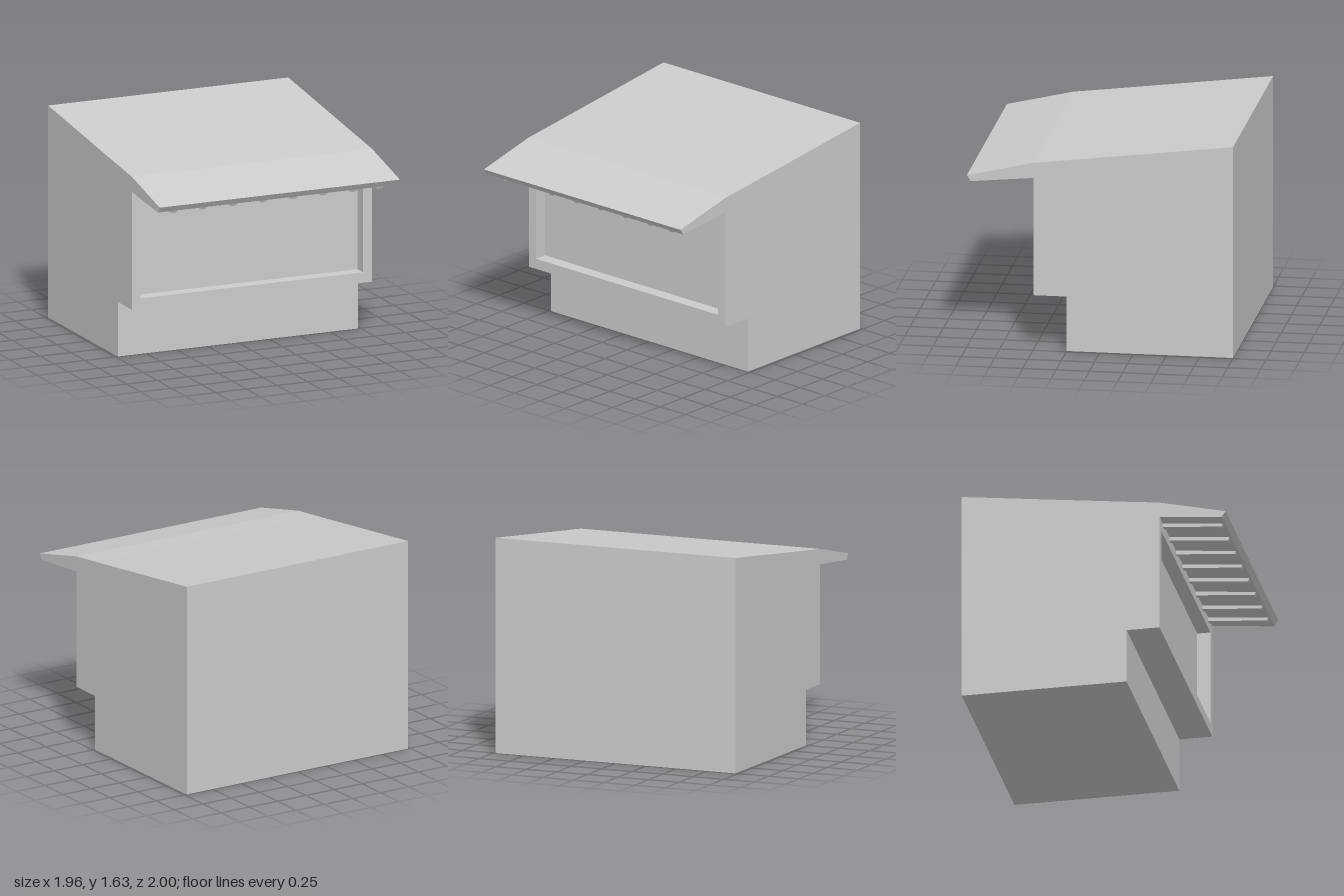
import * as THREE from 'three';

const material = new THREE.MeshStandardMaterial({ color: 0xcccccc, flatShading: true });

// Extrude a side profile of [z, y] points along x, centred on the given x
function sideProfile(name, points, width, x = 0) {
  const shape = new THREE.Shape(points.map(([z, y]) => new THREE.Vector2(z, y)));
  const geo = new THREE.ExtrudeGeometry(shape, { depth: width, bevelEnabled: false });
  geo.translate(0, 0, -width / 2).rotateY(-Math.PI / 2);
  const mesh = new THREE.Mesh(geo, material);
  mesh.name = name;
  mesh.position.x = x;
  return mesh;
}

// Rectangle outline, counter-clockwise
function rect(Type, x, y0, y1) {
  return new Type([[-x, y0], [x, y0], [x, y1], [-x, y1]].map(([a, b]) => new THREE.Vector2(a, b)));
}

export function createModel() {
  const group = new THREE.Group();
  group.name = 'kiosk';
  const halfWidth = 0.98, wallZ = 0.4, frameDepth = 0.1;

  // Main body: stepped base, back wall of the opening, overhanging sloped roof
  group.add(sideProfile('body', [
    [-1, 0], [0.25, 0], [0.25, 0.42], [wallZ, 0.42], [wallZ, 1.325], [0.5, 1.325],
    [0.97, 1.28], [1, 1.325], [0.5, 1.442], [0.25, 1.472], [-1, 1.627],
  ], halfWidth * 2));

  // Front frame around the recessed serving window
  const frameShape = rect(THREE.Shape, halfWidth, 0.42, 1.325);
  frameShape.holes.push(rect(THREE.Path, 0.907, 0.5, 1.24));
  const frame = new THREE.Mesh(
    new THREE.ExtrudeGeometry(frameShape, { depth: frameDepth, bevelEnabled: false }), material);
  frame.name = 'windowFrame';
  frame.position.z = wallZ;
  group.add(frame);

  // Rafters under the awning; the last gap is slightly narrower
  const rafterX = Array.from({ length: 8 }, (_, i) => Math.min(-0.842 + i * 0.245, 0.843));
  rafterX.forEach((x, i) => group.add(sideProfile(`rafter${i + 1}`, [
    [0.5, 1.295], [0.945, 1.257], [0.955, 1.2815], [0.5, 1.325],
  ], 0.042, x)));

  return group;
}
